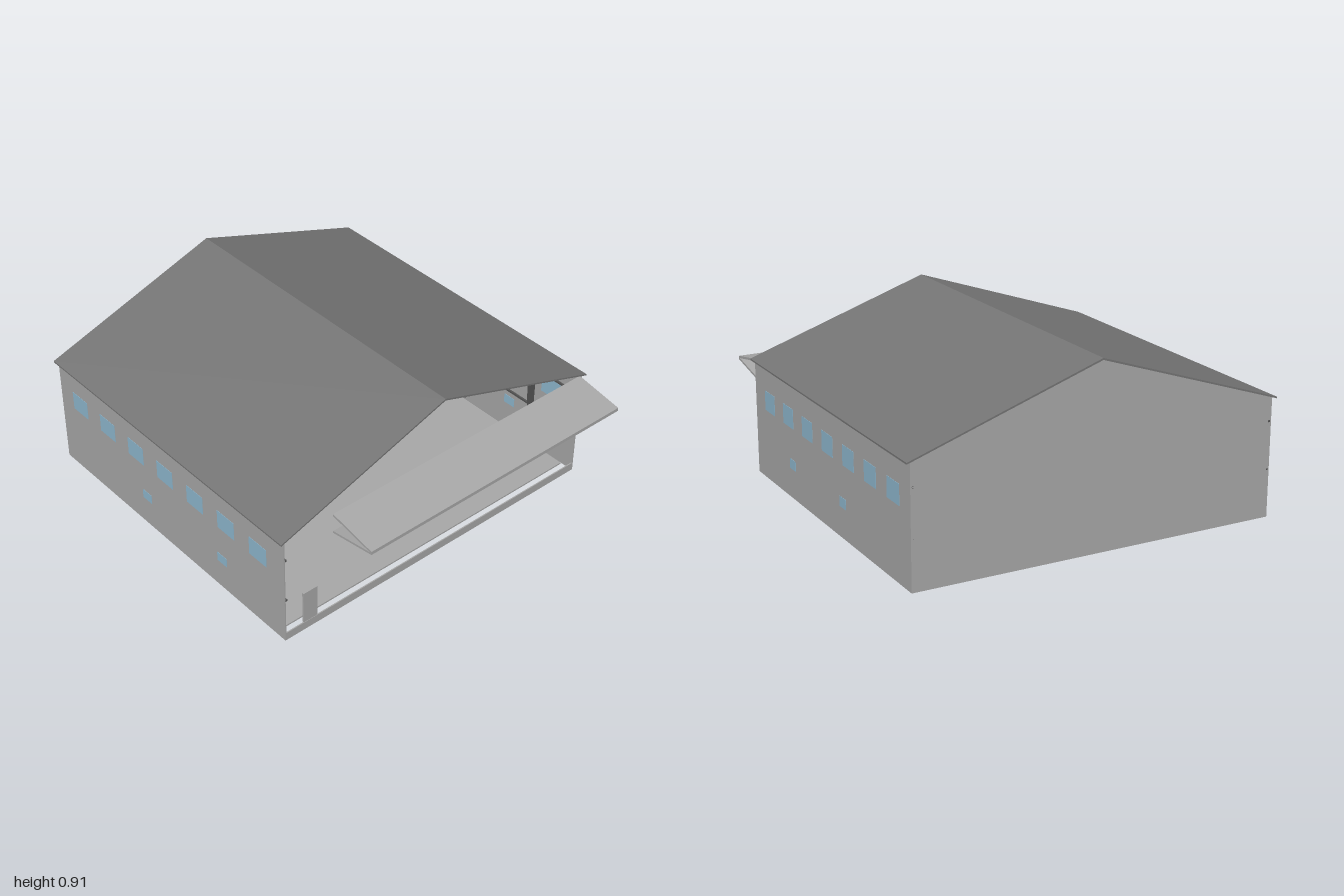
import * as THREE from 'three';

export function createModel() {
  const model = new THREE.Group();
  model.name = 'hangar';

  const material = (name, color, side = THREE.FrontSide) => {
    const m = new THREE.MeshStandardMaterial({ color, side });
    m.name = name;
    return m;
  };
  const wallGrey = material('wallGrey', 0xa8a8a8);
  const roofGrey = material('roofGrey', 0x757575);
  const frameGrey = material('frameGrey', 0x545454);
  const glassBlue = material('glassBlue', 0x8fb8cf);

  const add = (name, geometry, mat) => {
    const mesh = new THREE.Mesh(geometry, mat);
    mesh.name = name;
    model.add(mesh);
    return mesh;
  };
  // Box given by its lower and upper corners
  const box = (name, mat, [x0, y0, z0], [x1, y1, z1]) => {
    const mesh = add(name, new THREE.BoxGeometry(x1 - x0, y1 - y0, z1 - z0), mat);
    mesh.position.set((x0 + x1) / 2, (y0 + y1) / 2, (z0 + z1) / 2);
    return mesh;
  };
  const extrude = (points, depth) => new THREE.ExtrudeGeometry(
    new THREE.Shape(points.map(([a, b]) => new THREE.Vector2(a, b))),
    { depth, bevelEnabled: false });
  // Profile in (z, y), extruded along x from x0 to x1
  const alongX = (name, mat, points, x0, x1) => {
    const g = extrude(points.map(([z, y]) => [-z, y]), x1 - x0);
    g.rotateY(Math.PI / 2);
    return add(name, g.translate(x0, 0, 0), mat);
  };
  // Profile in (x, y), extruded along z from z0 to z1
  const alongZ = (name, mat, points, z0, z1) =>
    add(name, extrude(points, z1 - z0).translate(0, 0, z0), mat);

  const left = -0.99, right = 0.75, half = 0.93, eave = 0.59, ridge = 0.9;
  const girtHeights = [0.24, 0.475];

  // Floor, set in from the walls, and the door threshold
  box('floor', wallGrey, [left + 0.04, 0.028, -half + 0.04], [right - 0.045, 0.036, half - 0.04]);
  box('threshold', wallGrey, [right - 0.006, 0, -half], [right, 0.043, half]);

  // Solid gable wall
  alongX('gableWall', wallGrey,
    [[-half, 0], [half, 0], [half, eave], [0, ridge], [-half, eave]], left, left + 0.008);

  // Thin roof with small overhangs
  alongX('roof', roofGrey,
    [[0, 0.91], [-0.95, 0.592], [-0.95, 0.584], [0, 0.901], [0.95, 0.584], [0.95, 0.592]],
    -1, 0.76);

  for (const s of [1, -1]) {
    const side = s > 0 ? 'front' : 'back';
    const sideBox = (name, mat, x0, x1, y0, y1, z0, z1) =>
      box(name, mat, [x0, y0, Math.min(s * z0, s * z1)], [x1, y1, Math.max(s * z0, s * z1)]);

    // Long wall
    sideBox(side + 'Wall', wallGrey, left, right, 0, eave, half - 0.006, half);

    // Windows, showing on both faces of the wall
    for (let i = 0; i < 7; i++) {
      const x = -0.823 + i * 0.2315;
      sideBox(side + 'Window', glassBlue, x - 0.061, x + 0.061, 0.36, 0.46, half - 0.0075, half + 0.0015);
    }
    for (const x of [-0.29, 0.295])
      sideBox(side + 'SmallWindow', glassBlue, x - 0.035, x + 0.035, 0.15, 0.2, half - 0.0075, half + 0.0015);

    // Horizontal rails inside the long wall
    for (const y of girtHeights)
      sideBox(side + 'Rail', frameGrey, left, right, y - 0.005, y + 0.005, half - 0.016, half - 0.006);

    // Tapered columns, wider at the top
    const profile = [[0.905, 0.03], [0.92, 0.03], [0.92, 0.585], [0.876, 0.565]];
    for (const x of [-0.475, -0.01, 0.455])
      alongX(side + 'Column', frameGrey,
        (s > 0 ? profile : profile.slice().reverse()).map(([z, y]) => [s * z, y]), x - 0.01, x + 0.01);

    // Gable posts
    box('gablePost', frameGrey, [left + 0.008, 0, s * 0.31 - 0.005], [left + 0.02, 0.795, s * 0.31 + 0.005]);
  }

  // Gable rails
  for (const y of girtHeights)
    box('gableRail', frameGrey, [left + 0.008, y - 0.005, -half + 0.006], [left + 0.018, y + 0.005, half - 0.006]);

  // Folding door, raised into a V above the opening
  alongZ('upperDoorPanel', wallGrey,
    [[0.745, 0.575], [1, 0.53], [1, 0.541], [0.745, 0.587]], -0.92, 0.645);
  alongZ('lowerDoorPanel', wallGrey,
    [[0.745, 0.478], [1, 0.523], [1, 0.534], [0.745, 0.489]], -0.92, 0.645);

  // Small personnel door beside the opening
  box('personnelDoor', wallGrey, [right - 0.012, 0.04, 0.74], [right - 0.002, 0.217, 0.82]);

  return model;
}
